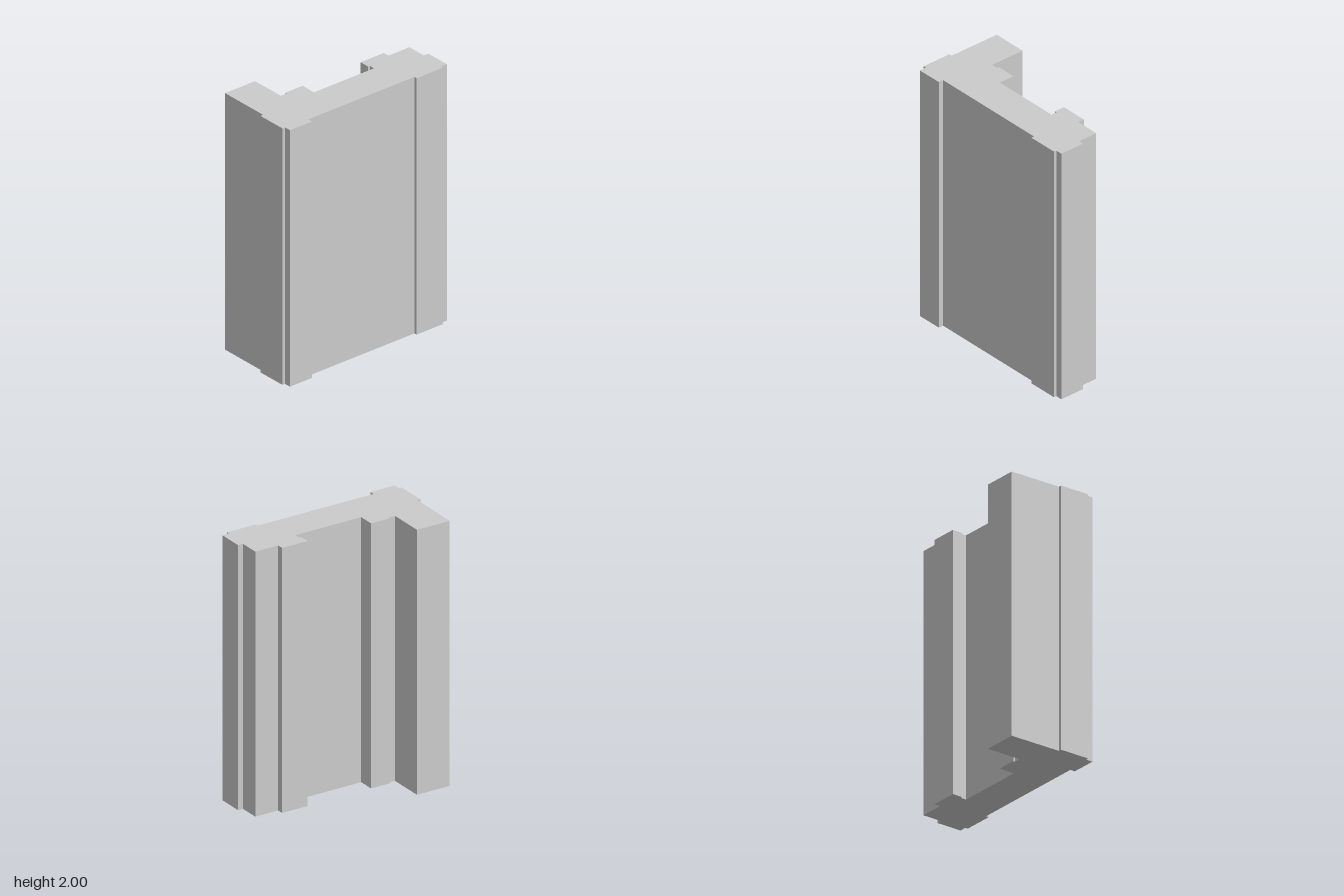
import * as THREE from 'three';

// Plan outline of the moulded section, as [x, z] pairs
const outline = [
  // long return leg
  [-0.74, 0.135], [-0.55, -0.055], [-0.355, 0.14],
  // small inner step
  [-0.318, 0.103], [-0.329, 0.092], [-0.22, -0.016], [-0.133, 0.071],
  // recessed web and the stepped far head
  [0.247, -0.31], [0.216, -0.342], [0.205, -0.331], [0.147, -0.389],
  [0.295, -0.536], [0.33, -0.501], [0.463, -0.633], [0.571, -0.525],
  [0.6, -0.553], [0.74, -0.413], [0.702, -0.375], [0.717, -0.36],
  [0.551, -0.193], [0.534, -0.21],
  // outer face and the stepped near corner
  [-0.138, 0.462], [-0.111, 0.489], [-0.25, 0.63], [-0.289, 0.591],
  [-0.305, 0.607], [-0.47, 0.442], [-0.453, 0.425],
];

export function createModel() {
  const group = new THREE.Group();
  group.name = 'mouldedFrame';

  // Extrude the plan upwards; z is negated because the shape is tipped onto the ground
  const shape = new THREE.Shape(outline.map(([x, z]) => new THREE.Vector2(x, -z)));
  const geometry = new THREE.ExtrudeGeometry(shape, { depth: 2, bevelEnabled: false });
  geometry.rotateX(-Math.PI / 2);

  const material = new THREE.MeshStandardMaterial({ color: 0xcccccc, flatShading: true });
  const profile = new THREE.Mesh(geometry, material);
  profile.name = 'extrudedProfile';
  group.add(profile);
  return group;
}
